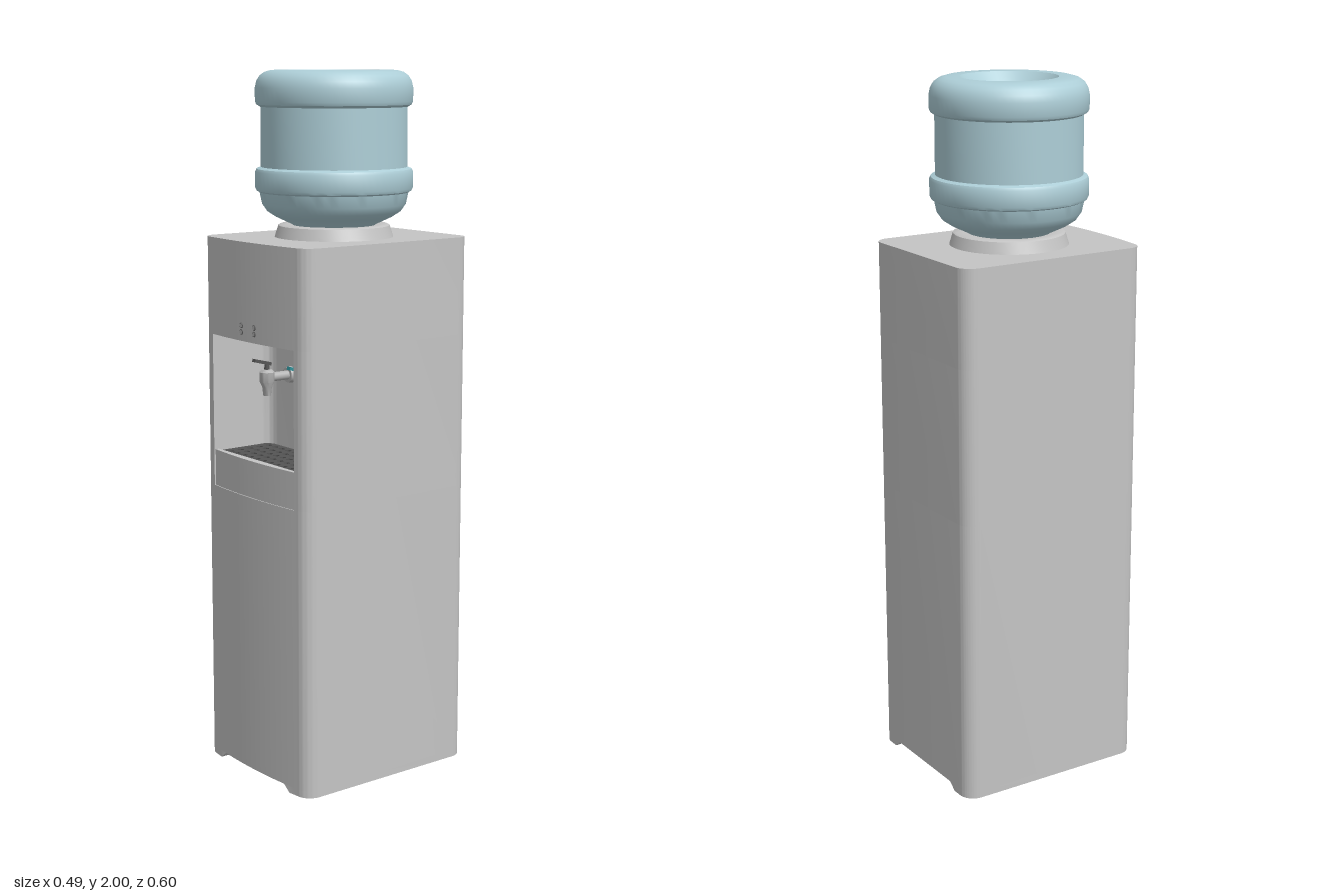
import * as THREE from 'three';
import { toCreasedNormals } from 'three/addons/utils/BufferGeometryUtils.js';

const mat = (name, color) => {
  const m = new THREE.MeshStandardMaterial({ color });
  m.name = name;
  return m;
};

// Front face bows gently outwards
const bow = (x) => 0.285 + 0.012 * (1 - (x / 0.2) ** 2);

function bowLine(shape, from, to, inset = 0) {
  const n = Math.max(2, Math.round(Math.abs(to - from) * 60));
  for (let i = 0; i <= n; i++) {
    const x = from + ((to - from) * i) / n;
    shape.lineTo(x, bow(x) - inset);
  }
}

// Extrude a floor-plan shape (x, z) downwards from a top height
function planExtrude(shape, top, height) {
  const g = new THREE.ExtrudeGeometry(shape, { depth: height, bevelEnabled: false, curveSegments: 10 });
  g.rotateX(Math.PI / 2).translate(0, top, 0);
  return toCreasedNormals(g, 0.6);
}

const NICHE_X = 0.1925, NICHE_Z = 0.09;

// Cabinet plan, optionally with the niche cut out of the front
function cabinetPlan(withNiche) {
  const s = new THREE.Shape();
  s.moveTo(-0.2, -0.298);
  s.lineTo(0.2, -0.298);
  s.absarc(0.2, -0.253, 0.045, -Math.PI / 2, 0);
  s.lineTo(0.245, 0.24);
  s.absarc(0.2, 0.24, 0.045, 0, Math.PI / 2);
  if (withNiche) {
    bowLine(s, 0.199, NICHE_X);
    s.lineTo(NICHE_X, NICHE_Z + 0.04);
    s.quadraticCurveTo(NICHE_X, NICHE_Z, NICHE_X - 0.04, NICHE_Z);
    s.lineTo(-NICHE_X + 0.04, NICHE_Z);
    s.quadraticCurveTo(-NICHE_X, NICHE_Z, -NICHE_X, NICHE_Z + 0.04);
    bowLine(s, -NICHE_X, -0.199);
  } else {
    bowLine(s, 0.199, -0.199);
  }
  s.absarc(-0.2, 0.24, 0.045, Math.PI / 2, Math.PI);
  s.lineTo(-0.245, -0.253);
  s.absarc(-0.2, -0.253, 0.045, Math.PI, Math.PI * 1.5);
  return s;
}

// Runner along one side of the base, with a sloping inner wall
function footGeometry(side) {
  const s = new THREE.Shape();
  s.moveTo(0.145, -0.298);
  s.lineTo(0.2, -0.298);
  s.absarc(0.2, -0.253, 0.045, -Math.PI / 2, 0);
  s.lineTo(0.245, 0.24);
  s.absarc(0.2, 0.24, 0.045, 0, Math.PI / 2);
  bowLine(s, 0.199, 0.145);
  const pts = s.getPoints(10).map((p) => new THREE.Vector2(side * p.x, p.y));
  const g = planExtrude(new THREE.Shape(pts), 0.02, 0.02);
  const p = g.attributes.position;
  for (let i = 0; i < p.count; i++) {
    if (p.getY(i) < 0.01 && Math.abs(p.getX(i)) < 0.17) p.setX(i, side * 0.17);
  }
  return toCreasedNormals(g, 0.6);
}

function lathe(points, segments = 48) {
  const g = new THREE.LatheGeometry(points.map(([r, y]) => new THREE.Vector2(r, y)), segments);
  return toCreasedNormals(g, 0.6);
}

export function createModel() {
  const body = mat('cabinet grey', 0xc4c4c4);
  const water = mat('bottle blue', 0xadced7);
  const metal = mat('tap grey', 0xb4b4b4);
  const dark = mat('dark grey', 0x555555);
  const black = mat('drain black', 0x2b2b2b);
  const teal = mat('cold teal', 0x2f8f98);

  const model = new THREE.Group();
  model.name = 'waterDispenser';
  const add = (name, geometry, material, parent = model) => {
    const m = new THREE.Mesh(geometry, material);
    m.name = name;
    parent.add(m);
    return m;
  };

  // Cabinet in three storeys, the middle one holding the niche
  add('lowerCabinet', planExtrude(cabinetPlan(false), 0.825, 0.805), body);
  add('nicheCabinet', planExtrude(cabinetPlan(true), 1.265, 0.44), body);
  add('upperCabinet', planExtrude(cabinetPlan(false), 1.54, 0.275), body);
  add('leftFoot', footGeometry(1), body);
  add('rightFoot', footGeometry(-1), body);

  // Drip tray: curved front lip, drain and perforated grille
  const lip = new THREE.Shape();
  lip.moveTo(-0.19, 0.272);
  lip.lineTo(0.19, 0.272);
  bowLine(lip, 0.19, -0.19, 0.003);
  add('trayLip', planExtrude(lip, 0.93, 0.105), body);

  const drain = new THREE.BoxGeometry(0.382, 0.088, 0.185);
  add('trayDrain', drain.translate(0, 0.869, 0.182), black);

  const grille = new THREE.Shape();
  grille.moveTo(-0.19, 0.092);
  grille.lineTo(0.19, 0.092);
  grille.lineTo(0.19, 0.274);
  grille.lineTo(-0.19, 0.274);
  for (let row = 0; row < 5; row++) {
    for (let col = 0; col < 11; col++) {
      const hole = new THREE.Path();
      const cx = (col - 5) * 0.032, cz = 0.117 + row * 0.033;
      for (let k = 0; k < 8; k++) {
        const a = (-k / 8) * Math.PI * 2;
        const x = cx + 0.011 * Math.cos(a), z = cz + 0.009 * Math.sin(a);
        if (k) hole.lineTo(x, z); else hole.moveTo(x, z);
      }
      grille.holes.push(hole);
    }
  }
  add('trayGrille', planExtrude(grille, 0.925, 0.008), dark);

  // Taps: wall flange, barrel, nozzle and push lever
  const makeTap = (name, x, leverMaterial) => {
    const tap = new THREE.Group();
    tap.name = name;
    tap.position.set(x, 1.09, NICHE_Z);
    model.add(tap);
    const flange = new THREE.CylinderGeometry(0.022, 0.024, 0.014, 24).rotateX(Math.PI / 2);
    add('tapFlange', flange.translate(0, 0.052, 0.007), metal, tap);
    const barrel = new THREE.CylinderGeometry(0.013, 0.013, 0.085, 20).rotateX(Math.PI / 2);
    add('tapBarrel', barrel.translate(0, 0.052, 0.042), metal, tap);
    const nozzle = lathe([[0, 0.004], [0.009, 0.004], [0.011, 0], [0.014, 0.025], [0.021, 0.04],
      [0.022, 0.068], [0.015, 0.075], [0, 0.076]], 24);
    add('tapNozzle', nozzle.translate(0, 0, 0.085), metal, tap);
    const stem = new THREE.CylinderGeometry(0.007, 0.008, 0.022, 12);
    add('tapStem', stem.translate(0, 0.084, 0.085), dark, tap);
    const lever = new THREE.BoxGeometry(0.015, 0.009, 0.058).rotateX(-0.25);
    add('tapLever', lever.translate(0, 0.098, 0.102), leverMaterial, tap);
  };
  makeTap('hotTap', -0.085, dark);
  makeTap('coldTap', 0.08, teal);

  // Indicator lamps above the niche
  for (const x of [-0.035, 0.026]) {
    for (const y of [1.29, 1.308]) {
      const ring = add('lampRing', new THREE.TorusGeometry(0.006, 0.0018, 8, 20), dark);
      ring.position.set(x, y, bow(x));
      const lamp = new THREE.CylinderGeometry(0.006, 0.006, 0.004, 16).rotateX(Math.PI / 2);
      add('lamp', lamp, metal).position.set(x, y, bow(x));
    }
  }

  // Collar carrying the bottle
  add('collar', lathe([[0.168, 1.538], [0.164, 1.55], [0.157, 1.572], [0.152, 1.575],
    [0.13, 1.575], [0, 1.56]]), body);

  // Upturned bottle with ribs and a dished base on top
  add('bottle', lathe([[0, 1.565], [0.11, 1.565], [0.118, 1.575], [0.165, 1.597], [0.188, 1.612],
    [0.202, 1.632], [0.209, 1.665], [0.217, 1.669], [0.221, 1.677], [0.221, 1.722], [0.217, 1.73],
    [0.205, 1.735], [0.205, 1.9], [0.216, 1.906], [0.22, 1.915], [0.22, 1.952], [0.216, 1.97],
    [0.207, 1.985], [0.193, 1.995], [0.175, 2], [0.136, 2], [0.112, 1.975], [0, 1.975]], 64), water);

  return model;
}
